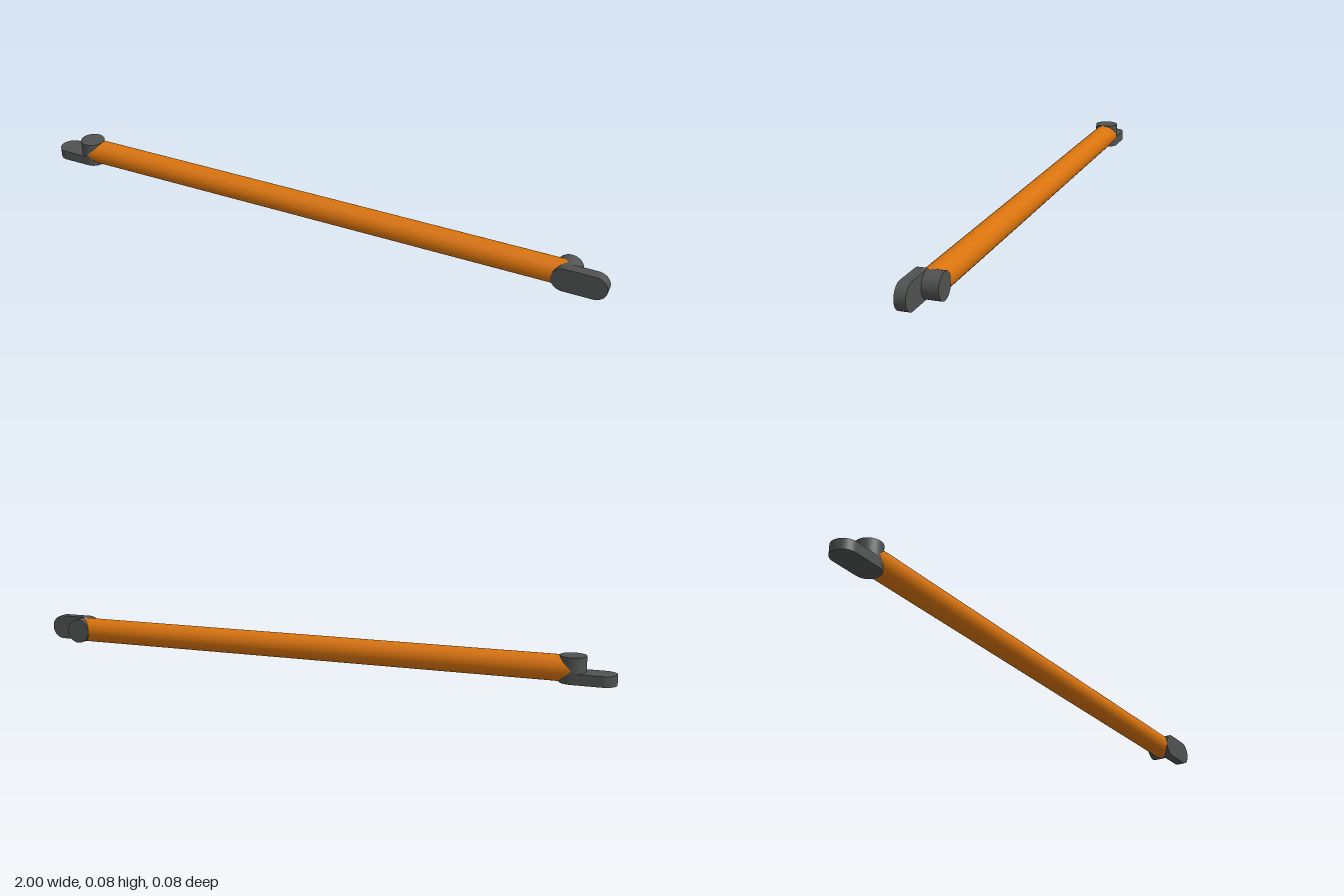
import * as THREE from 'three';

const R = 0.0415;       // shared radius of rod, pins and lug ends
const HALF = 0.042;     // half length of a pin
const PIN_X = 0.865;    // pin axis distance from the middle
const LUG_T = 0.034;    // lug thickness

export function createModel() {
  const model = new THREE.Group();
  model.name = 'connectingRod';

  const orange = new THREE.MeshStandardMaterial({ color: 0xd9730d });
  const dark = new THREE.MeshStandardMaterial({ color: 0x4f5250 });

  const add = (parent, name, geometry, material) => {
    const mesh = new THREE.Mesh(geometry, material);
    mesh.name = name;
    parent.add(mesh);
    return mesh;
  };

  // Long round bar; its ends are buried in the cross pins
  const rod = add(model, 'rod', new THREE.CylinderGeometry(R, R, 2 * PIN_X, 32), orange);
  rod.rotation.z = Math.PI / 2;
  rod.position.y = HALF;

  // Rounded outline of the flat lug, from the pin to the tip
  const outline = new THREE.Shape();
  outline.absarc(1 - R, 0, R, -Math.PI / 2, Math.PI / 2);
  outline.absarc(PIN_X, 0, R, Math.PI / 2, Math.PI * 1.5);
  outline.closePath();

  // End fitting: a cross pin with a half-thickness lug on its +z side
  const makeEnd = (name) => {
    const end = new THREE.Group();
    end.name = name;

    const pinLength = 2 * HALF - LUG_T / 2;
    const pin = add(end, 'crossPin', new THREE.CylinderGeometry(R, R, pinLength, 32), dark);
    pin.rotation.x = Math.PI / 2;
    pin.position.set(PIN_X, 0, -HALF + pinLength / 2);

    const lug = add(end, 'lug', new THREE.ExtrudeGeometry(outline, {
      depth: LUG_T, bevelEnabled: false, curveSegments: 16,
    }), dark);
    lug.position.z = HALF - LUG_T;

    end.position.y = HALF;
    model.add(end);
    return end;
  };

  // The left lug faces front; the right one is turned to lie underneath
  makeEnd('leftEnd');
  makeEnd('rightEnd').rotation.set(Math.PI / 2, 0, Math.PI);

  return model;
}
